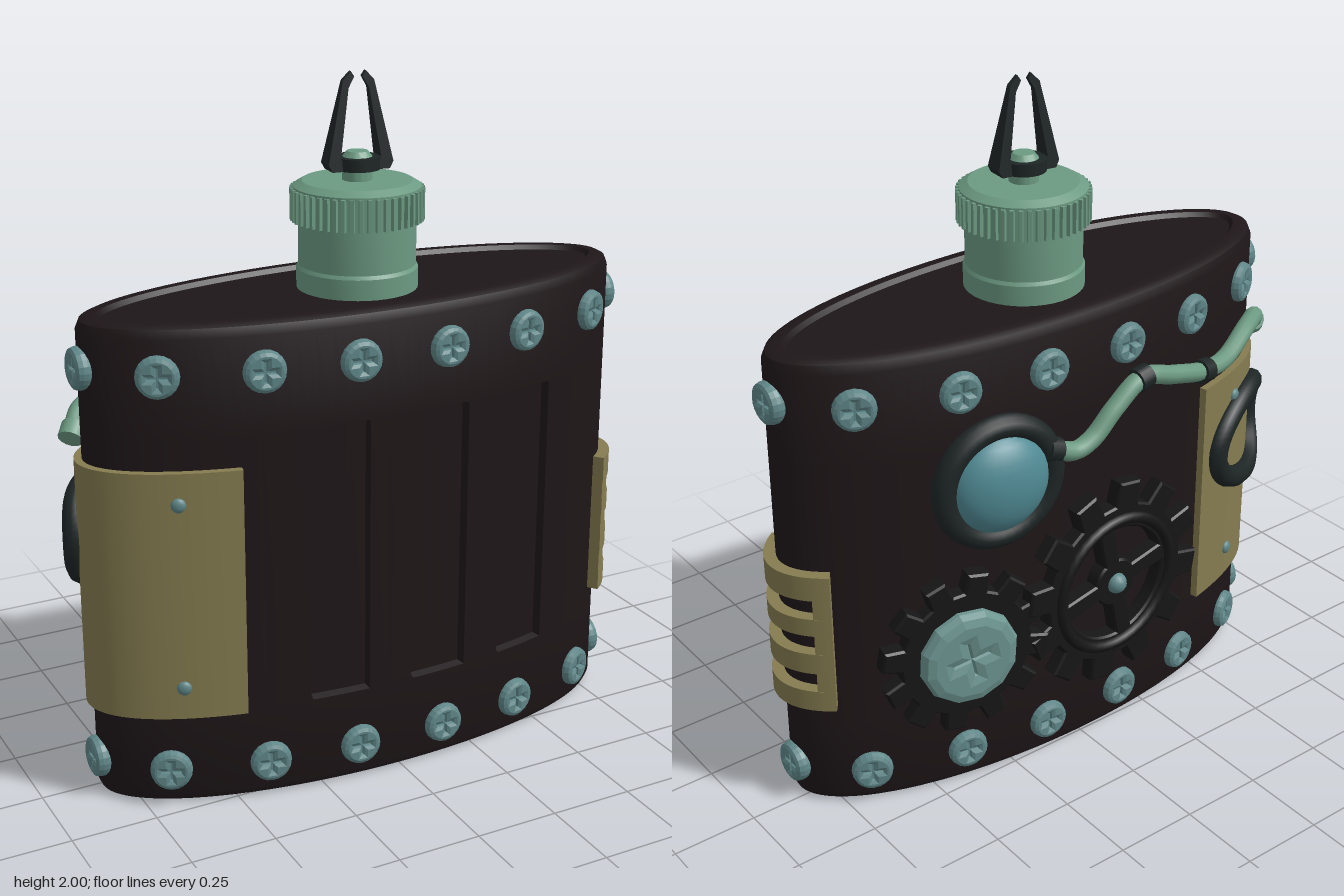
import * as THREE from 'three';
import { toCreasedNormals } from 'three/addons/utils/BufferGeometryUtils.js';

const A = 0.835, B = 0.29, ZC = 0.03; // oval plan of the flask
const mat = (color, extra = {}) => new THREE.MeshStandardMaterial({ color, ...extra });
const leather = mat(0x1e1618), brass = mat(0x857c50), mint = mat(0x6c9a82), steel = mat(0x5f8688);
const iron = mat(0x161616), black = mat(0x1e2525), glass = mat(0x508a94);

// Point on the oval at angle t, pushed out along its normal
function oval(t, off = 0) {
  const n = new THREE.Vector2(Math.cos(t) / A, Math.sin(t) / B).normalize();
  return { x: A * Math.cos(t) + n.x * off, z: ZC + B * Math.sin(t) + n.y * off, turn: Math.atan2(n.x, n.y) };
}
const angleAt = (x, side) => side * Math.acos(THREE.MathUtils.clamp(x / A, -1, 1));

function add(parent, name, geo, material) {
  const m = new THREE.Mesh(geo, material);
  m.name = name;
  parent.add(m);
  return m;
}
// Group standing on the wall, its local +z pointing outward
function onWall(parent, name, t, y, off = 0) {
  const g = new THREE.Group(), p = oval(t, off);
  g.name = name;
  g.position.set(p.x, y, p.z);
  g.rotation.y = p.turn;
  parent.add(g);
  return g;
}

// Oval body with three sunk panels in the front
function bodyGeometry() {
  const panels = [[-0.286, -0.11], [0.03, 0.205], [0.335, 0.505]], e = 0.005;
  const ts = Array.from({ length: 97 }, (_, i) => (i / 96) * Math.PI * 2);
  panels.flat().forEach(x => { const t = angleAt(x, 1); ts.push(t - e, t + e); });
  ts.sort((a, b) => a - b);
  // rows: height, inset, panel row
  const rows = [[0, null], [0, 0.03], [0.008, 0.01], [0.03, 0], [0.28, 0], [0.287, 0, 1], [1.093, 0, 1], [1.1, 0],
    [1.375, 0], [1.4, 0.01], [1.41, 0.03], [1.41, 0.055], [1.397, 0.065], [1.397, null]];
  const pos = [], idx = [], n = ts.length;
  rows.forEach(([y, inset, panel], i) => ts.forEach((t, j) => {
    const x = A * Math.cos(t);
    const sunk = panel && t < Math.PI && panels.some(([lo, hi]) => x > lo && x < hi);
    const p = inset === null ? { x: 0, z: ZC } : oval(t, sunk ? -0.022 : -inset);
    pos.push(p.x, y, p.z);
    if (i < rows.length - 1 && j < n - 1) {
      const a = i * n + j, u = a + n;
      idx.push(a, u, u + 1, a, u + 1, a + 1);
    }
  }));
  const g = new THREE.BufferGeometry();
  g.setAttribute('position', new THREE.Float32BufferAttribute(pos, 3));
  g.setIndex(idx);
  return toCreasedNormals(g, 0.5);
}

// Curved strip following the wall between two angles
function band(t0, t1, y0, y1, off) {
  const pts = [], N = 28;
  for (let i = 0; i <= N; i++) pts.push(oval(t0 + (t1 - t0) * i / N, off));
  for (let i = N; i >= 0; i--) pts.push(oval(t0 + (t1 - t0) * i / N, -0.005));
  const shape = new THREE.Shape(pts.map(p => new THREE.Vector2(p.x, -p.z)));
  const g = new THREE.ExtrudeGeometry(shape, { depth: y1 - y0, bevelEnabled: false });
  return toCreasedNormals(g.rotateX(-Math.PI / 2).translate(0, y0, 0), 0.5);
}

// Round head with a sunk cross
function crossHead(r, depth, arm, half, sides) {
  const s = new THREE.Shape();
  for (let i = 0; i < sides; i++) {
    const a = (i / sides) * Math.PI * 2;
    s[i ? 'lineTo' : 'moveTo'](Math.cos(a) * r * 0.78, Math.sin(a) * r * 0.78);
  }
  const c = [];
  for (let q = 0; q < 4; q++) [[arm, -half], [arm, half], [half, half]].forEach(([x, y]) =>
    c.push(new THREE.Vector2(x, y).rotateAround(new THREE.Vector2(), q * Math.PI / 2)));
  s.holes.push(new THREE.Path(c));
  const bevel = r * 0.22;
  return new THREE.ExtrudeGeometry(s, { depth: depth * 0.4, bevelThickness: depth * 0.6, bevelSize: bevel,
    bevelOffset: 0, bevelSegments: 2, curveSegments: 8 });
}
function screw(parent, name, r, depth, arm, half, sides, material) {
  const bevel = r * 0.22;
  add(parent, name, crossHead(r, depth, arm + bevel * 0.5, half + bevel * 0.5, sides), material);
  const base = add(parent, name + 'Core', new THREE.CylinderGeometry(r * 0.8, r * 0.8, depth * 0.6, sides), material);
  base.rotation.x = Math.PI / 2;
  base.position.z = depth * 0.25;
}

// Toothed outline, used for the gears and the knurled cap
function toothed(root, tip, teeth) {
  const s = [], step = Math.PI * 2 / teeth;
  for (let i = 0; i < teeth; i++)
    [[0, root], [0.4, root], [0.5, tip], [0.9, tip]].forEach(([k, r]) =>
      s.push(new THREE.Vector2(Math.cos((i + k) * step) * r, Math.sin((i + k) * step) * r)));
  return new THREE.Shape(s);
}

export function createModel() {
  const root = new THREE.Group();
  root.name = 'flask';
  add(root, 'body', bodyGeometry(), leather);

  // Rivets in two rows around the wall
  const xs = [-0.68, -0.41, -0.14, 0.135, 0.405, 0.68];
  const angles = [0, Math.PI, ...xs.map(x => angleAt(x, 1)), ...xs.map(x => angleAt(x, -1))];
  for (const y of [0.11, 1.275]) for (const t of angles)
    screw(onWall(root, 'rivet', t, y, -0.006), 'rivetHead', 0.06, 0.03, 0.033, 0.008, 20, steel);

  // Brass plate around one end, with small screws
  const edge = Math.acos(0.475 / A);
  add(root, 'sidePlate', band(Math.PI - edge, Math.PI + edge, 0.28, 1.01, 0.022), brass);
  for (const side of [1, -1]) for (const y of [0.375, 0.92]) {
    const g = onWall(root, 'plateScrew', angleAt(-0.64, side), y, 0.022);
    add(g, 'plateScrewHead', new THREE.SphereGeometry(0.021, 14, 10), steel).scale.z = 0.6;
  }
  // Black ring wrapped on the plate
  const loop = [];
  for (let i = 0; i < 24; i++) {
    const a = i / 24 * Math.PI * 2, p = oval(Math.PI + 0.5 + 0.37 * Math.cos(a), 0.028);
    loop.push(new THREE.Vector3(p.x, 0.76 + 0.145 * Math.sin(a), p.z));
  }
  add(root, 'plateRing', new THREE.TubeGeometry(new THREE.CatmullRomCurve3(loop, true), 64, 0.035, 10, true), black);

  // Slotted brass grille on the other end
  const grille = new THREE.Group();
  grille.name = 'grille';
  root.add(grille);
  const w = 0.44;
  [[0.345, 0.41], [0.47, 0.535], [0.595, 0.65], [0.71, 0.785]].forEach(([a, b]) =>
    add(grille, 'grilleBar', band(-w, w, a, b, 0.034), brass));
  for (const s of [-1, 1]) add(grille, 'grillePost', band(Math.min(s * 0.33, s * w), Math.max(s * 0.33, s * w), 0.346, 0.784, 0.033), brass);

  // Solid gear with a large screw
  const gearOpts = { depth: 0.04, bevelThickness: 0.006, bevelSize: 0.006, bevelSegments: 1 };
  const small = onWall(root, 'smallGear', angleAt(0.42, -1), 0.475, 0.005);
  add(small, 'smallGearWheel', new THREE.ExtrudeGeometry(toothed(0.195, 0.25, 12), gearOpts), iron);
  const bolt = new THREE.Group();
  bolt.position.z = 0.042;
  bolt.rotation.z = 0.2;
  small.add(bolt);
  screw(bolt, 'gearBolt', 0.148, 0.045, 0.065, 0.012, 12, mat(0x6c9490, { flatShading: true }));

  // Spoked gear
  const large = onWall(root, 'largeGear', angleAt(-0.08, -1), 0.53, 0.002);
  const wheel = toothed(0.25, 0.32, 12);
  for (let q = 0; q < 4; q++) {
    const a = q * Math.PI / 2 + 0.2, b = a + Math.PI / 2;
    const hole = new THREE.Path();
    hole.absarc(0, 0, 0.185, a + 0.13, b - 0.13, false);
    hole.absarc(0, 0, 0.07, b - 0.32, a + 0.32, true);
    wheel.holes.push(hole);
  }
  add(large, 'largeGearWheel', new THREE.ExtrudeGeometry(wheel, gearOpts), iron);
  add(large, 'largeGearRim', new THREE.TorusGeometry(0.21, 0.018, 8, 40), iron).position.z = 0.045;
  add(large, 'largeGearPin', new THREE.SphereGeometry(0.032, 14, 10), steel).position.z = 0.045;

  // Domed lens in a black ring
  const lens = onWall(root, 'lens', angleAt(0.3, -1), 0.98, 0.01);
  add(lens, 'lensRing', new THREE.TorusGeometry(0.168, 0.036, 12, 40), black);
  add(lens, 'lensDome', new THREE.SphereGeometry(0.15, 32, 16), glass).scale.z = 0.58;

  // Hose from the lens to the plate, with clips
  const path = [[0.14, 1.04], [0.06, 1.01], [0, 1.03], [-0.08, 1.1], [-0.18, 1.16], [-0.31, 1.125], [-0.45, 1.085],
    [-0.56, 1.08], [-0.69, 1.125], [-0.78, 1.115], [-0.815, 1.07]];
  const hose = new THREE.CatmullRomCurve3(path.map(([x, y]) => {
    const p = oval(angleAt(x, -1), 0.025);
    return new THREE.Vector3(p.x, y, p.z);
  }));
  add(root, 'hose', new THREE.TubeGeometry(hose, 80, 0.028, 10), mint);
  for (const k of [0, 0.4, 0.6, 1]) {
    const clip = add(root, 'hoseClip', new THREE.CylinderGeometry(0.036, 0.036, 0.045, 14), k === 1 ? mint : black);
    clip.position.copy(hose.getPoint(k));
    clip.quaternion.setFromUnitVectors(new THREE.Vector3(0, 1, 0), hose.getTangent(k));
  }

  // Neck, knurled cap and stem
  const top = new THREE.Group();
  top.name = 'stopper';
  top.position.z = ZC;
  root.add(top);
  const lathe = (pts, seg) => toCreasedNormals(new THREE.LatheGeometry(pts.map(p => new THREE.Vector2(...p)), seg), 0.5);
  add(top, 'neck', lathe([[0.172, 1.39], [0.172, 1.455], [0.166, 1.465], [0.166, 1.6]], 40), mint);
  const knurl = new THREE.ExtrudeGeometry(toothed(0.178, 0.189, 48), { depth: 0.09, bevelEnabled: false });
  add(top, 'cap', knurl.rotateX(-Math.PI / 2).translate(0, 1.59, 0), mint);
  add(top, 'capTop', lathe([[0.18, 1.675], [0.18, 1.685], [0.155, 1.7], [0.042, 1.7], [0.042, 1.765], [0.03, 1.78], [0, 1.78]], 40), mint);

  // Black clasp: collar and two tapering prongs
  const collar = add(top, 'claspCollar', lathe([[0.04, 1.73], [0.064, 1.73], [0.064, 1.765], [0.04, 1.765]], 24), black);
  collar.material = mat(0x1e2525, { side: THREE.DoubleSide });
  for (const s of [-1, 1]) {
    const outline = [[0.045, 1.73], [0.085, 1.73], [0.096, 1.75], [0.046, 1.975], [0.022, 2], [0.012, 1.985], [0.03, 1.955], [0.06, 1.765], [0.045, 1.76]];
    const g = new THREE.ExtrudeGeometry(new THREE.Shape(outline.map(p => new THREE.Vector2(...p))), { depth: 1, bevelEnabled: false });
    const p = g.attributes.position;
    for (let i = 0; i < p.count; i++)
      p.setZ(i, (p.getZ(i) - 0.5) * THREE.MathUtils.mapLinear(p.getY(i), 1.73, 2, 0.064, 0.012));
    g.computeVertexNormals();
    const prong = add(top, 'claspProng', g, black);
    prong.rotation.y = s > 0 ? -0.1 : Math.PI - 0.1;
  }
  return root;
}
